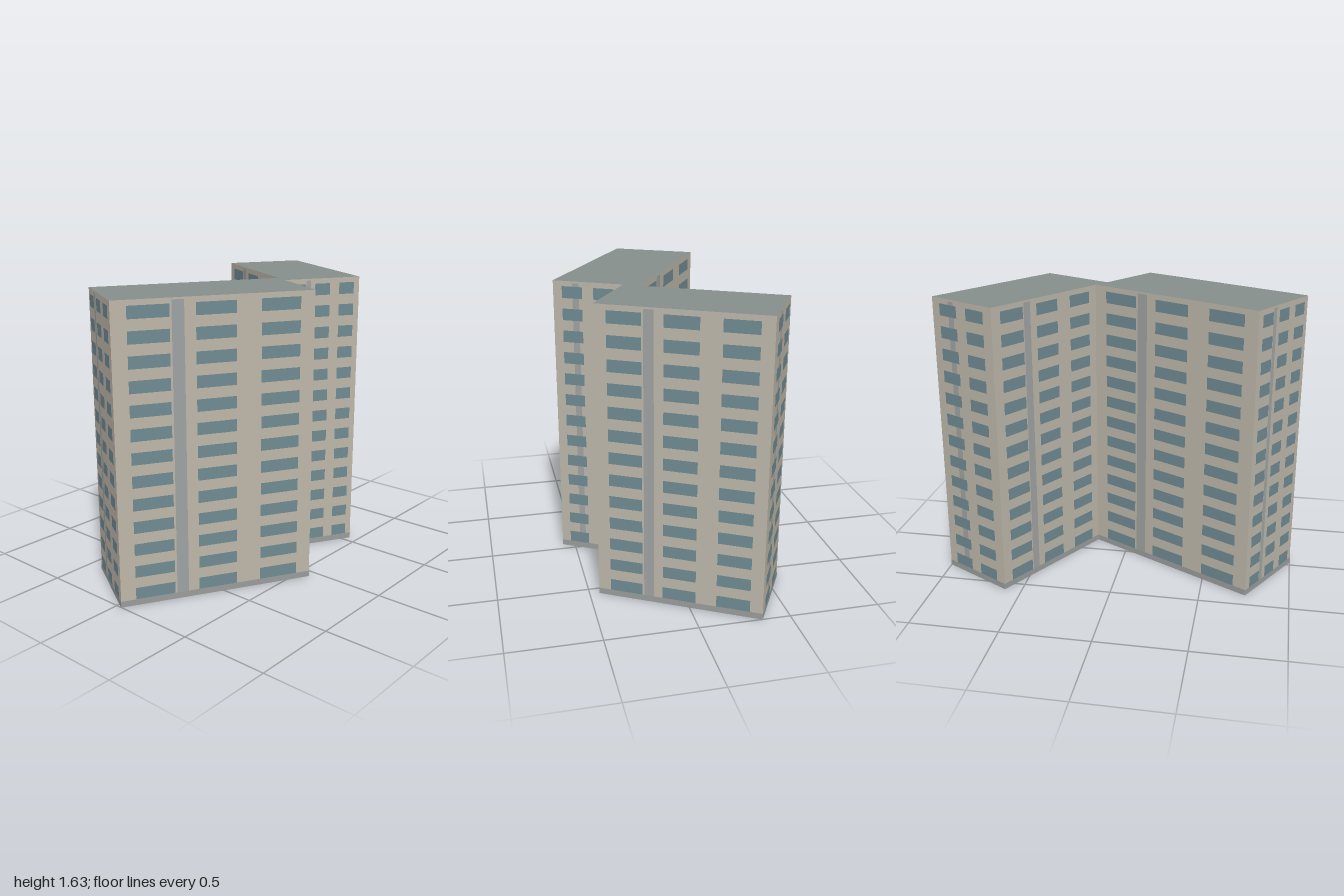
import * as THREE from 'three';

const HEIGHT = 1.63;
const FLOORS = 13;
const FLOOR_STEP = 0.125;

// Footprint corners [x, z], walked so each wall runs left to right seen from outside
const corners = [
  [-1, 0.035], [-0.055, 0.57], [0.145, 0.215], [0.55, 0.445],
  [1, -0.345], [0.597, -0.57], [0.197, 0.13], [-0.755, -0.4],
];
// Window columns on the wall that starts at each corner
const columns = [3, 2, 3, 3, 2, 3, 3, 3];

const paint = (color, side = THREE.FrontSide) =>
  new THREE.MeshStandardMaterial({ color, side });

const wallPaint = paint(0xbdb7aa, THREE.DoubleSide);
const roofPaint = paint(0x868f8b, THREE.DoubleSide);
const glassPaint = paint(0x6f8b92);
const stripPaint = paint(0x9fa3a2);
const basePaint = paint(0x999d9b);

// Flat panel placed in a wall's own frame: x along the wall, y up, z outward
function panel(parent, name, material, x0, x1, y0, y1, out) {
  const mesh = new THREE.Mesh(new THREE.PlaneGeometry(x1 - x0, y1 - y0), material);
  mesh.name = name;
  mesh.position.set((x0 + x1) / 2, (y0 + y1) / 2, out);
  parent.add(mesh);
}

function buildFacade(start, end, count) {
  const facade = new THREE.Group();
  const dx = end[0] - start[0];
  const dz = end[1] - start[1];
  const length = Math.hypot(dx, dz);
  facade.position.set(start[0], 0, start[1]);
  facade.rotation.y = -Math.atan2(dz, dx);

  panel(facade, 'wall', wallPaint, 0, length, 0, HEIGHT, 0);
  panel(facade, 'baseBand', basePaint, 0, length, 0, 0.034, 0.0015);

  // Vertical strip beside the first window column
  const [s0, s1] = count === 3 ? [0.285, 0.345] : [0.28, 0.37];
  panel(facade, 'verticalStrip', stripPaint, s0 * length, s1 * length, 0.034, 1.62, 0.0015);

  // Window grid
  const centres = count === 3 ? [0.175, 0.5, 0.825] : [0.275, 0.725];
  const half = (count === 3 ? 0.2 : 0.29) / 2;
  for (let floor = 0; floor < FLOORS; floor++) {
    const y = 0.068 + floor * FLOOR_STEP;
    for (const c of centres) {
      panel(facade, 'window', glassPaint,
        (c - half) * length, (c + half) * length, y - 0.033, y + 0.033, 0.003);
    }
  }
  return facade;
}

export function createModel() {
  const building = new THREE.Group();
  building.name = 'towerBlock';

  // Walls enclose both wings; the underside is open
  corners.forEach((corner, i) => {
    const facade = buildFacade(corner, corners[(i + 1) % corners.length], columns[i]);
    facade.name = `facade${i + 1}`;
    building.add(facade);
  });

  // Flat roof over the whole footprint
  const outline = new THREE.Shape(corners.map(([x, z]) => new THREE.Vector2(x, -z)));
  const roof = new THREE.Mesh(new THREE.ShapeGeometry(outline), roofPaint);
  roof.name = 'roof';
  roof.rotation.x = -Math.PI / 2;
  roof.position.y = HEIGHT;
  building.add(roof);

  return building;
}
